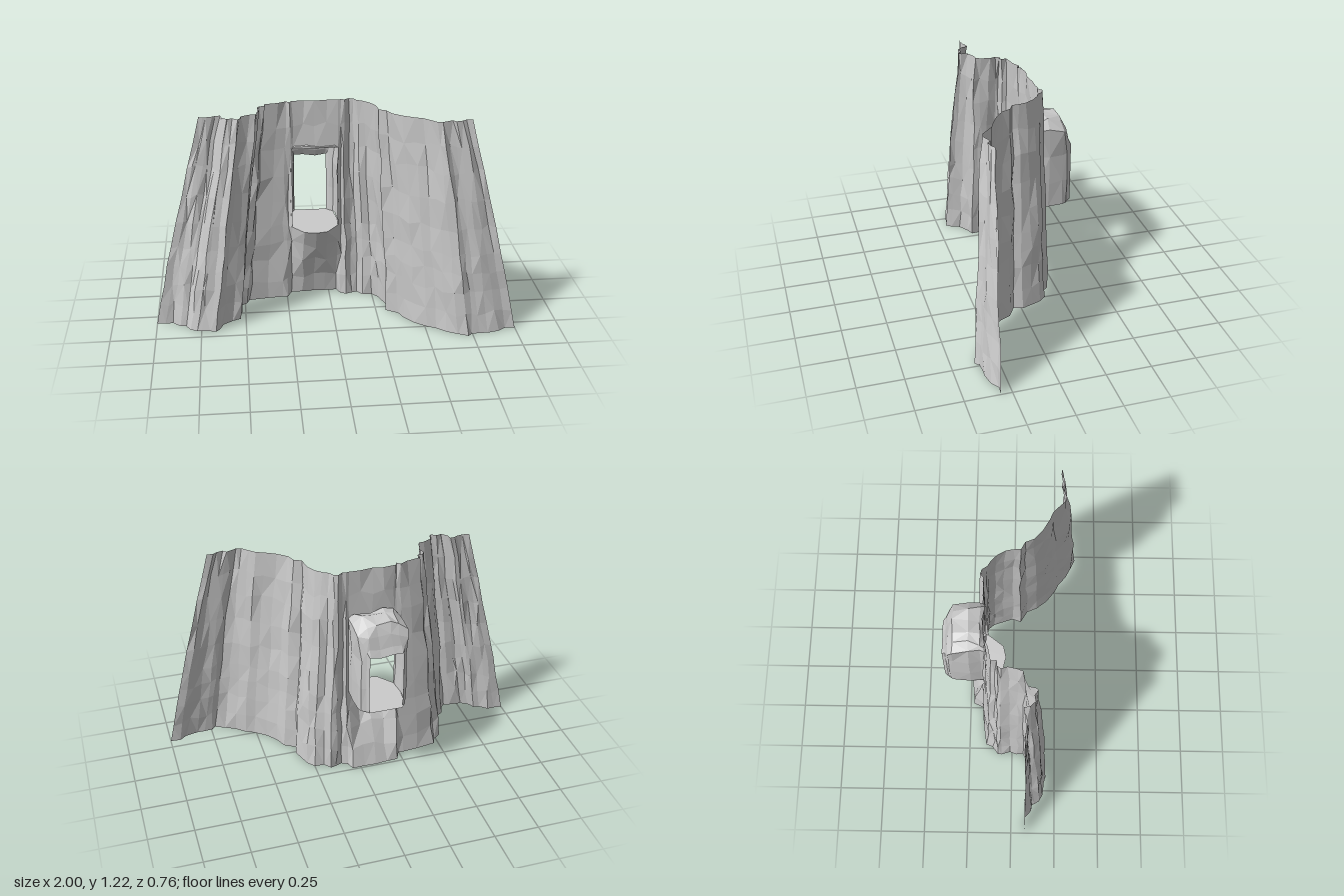
import * as THREE from 'three';

const rock = new THREE.MeshStandardMaterial({ color: 0xcccccc, flatShading: true, side: THREE.DoubleSide });

// Seeded noise in the range -1..1
let seed = 11;
const rand = () => {
  seed = (seed * 16807) % 2147483647;
  return (seed / 2147483647) * 2 - 1;
};

// Skin a grid of points, leaving out the cells for which skip(row, col) is true
function skin(name, grid, skip = () => false) {
  const w = grid[0].length, index = [];
  for (let r = 0; r < grid.length - 1; r++) {
    for (let c = 0; c < w - 1; c++) {
      if (skip(r, c)) continue;
      const a = r * w + c, b = a + 1, d = a + w, e = d + 1;
      index.push(...((r + c) % 2 ? [a, b, e, a, e, d] : [a, b, d, b, e, d]));
    }
  }
  const geo = new THREE.BufferGeometry();
  geo.setAttribute('position', new THREE.Float32BufferAttribute(grid.flat(2), 3));
  geo.setIndex(index);
  geo.computeVertexNormals();
  const mesh = new THREE.Mesh(geo, rock);
  mesh.name = name;
  return mesh;
}

// Plan of the cliff: x, z at the foot and x, z at the rim
const plan = [
  [-1, 0.08, -0.71, 0.07], [-0.91, 0.08, -0.66, 0.075], [-0.84, 0.12, -0.62, 0.06],
  [-0.81, 0.165, -0.58, 0.09], [-0.74, 0.18, -0.55, 0.12], [-0.67, 0.205, -0.51, 0.13],
  [-0.62, 0.115, -0.48, 0.085], [-0.53, 0.065, -0.41, 0.063], [-0.52, -0.02, -0.39, -0.02],
  [-0.525, -0.09, -0.385, -0.075], [-0.46, -0.145, -0.345, -0.105], [-0.28, -0.17, -0.24, -0.135],
  [-0.222, -0.215, -0.205, -0.15], [0.045, -0.22, 0.045, -0.15],
  [0.09, -0.175, 0.07, -0.155], [0.16, -0.2, 0.12, -0.165], [0.25, -0.15, 0.18, -0.115],
  [0.3, -0.07, 0.225, -0.045], [0.32, 0.035, 0.25, 0.03], [0.4, 0.14, 0.31, 0.1],
  [0.5, 0.25, 0.41, 0.18], [0.6, 0.32, 0.48, 0.23], [0.72, 0.375, 0.55, 0.28],
  [0.8, 0.345, 0.61, 0.25], [0.9, 0.33, 0.66, 0.26], [1, 0.31, 0.71, 0.25],
];
const mouthSpan = 12; // plan segment pierced by the tunnel
const heights = [0, 0.12, 0.25, 0.36, 0.47, 0.62, 0.78, 0.94, 1.08, 1.22];
const floorY = 0.47;
const ledge = [-0.14, -0.055, -0.04, -0.055, -0.14]; // z of the overhanging ledge rim

function cliff() {
  // Subdivide the plan into pleats
  const cols = [];
  let mouth;
  plan.forEach((p, i) => {
    if (i === mouthSpan) mouth = cols.length;
    const n = i === plan.length - 1 ? 1 : i === mouthSpan ? 4 : 2;
    for (let k = 0; k < n; k++) {
      const q = plan[Math.min(i + 1, plan.length - 1)];
      const edge = i === mouthSpan || i === mouthSpan + 1 || i === 0 || i === plan.length - 1;
      const j = edge ? 0 : 0.009;
      // Midpoints step in and out alternately, so the folds read as ribs
      const dx = rand() * j, dz = k === 1 ? (i % 2 ? j : -j) : rand() * j * 0.6;
      cols.push(p.map((v, m) => v + (q[m] - v) * (k / n) + (m % 2 ? dz : dx)));
    }
  });
  const grid = heights.map((y, r) => cols.map(([xb, zb, xt, zt], c) => {
    const t = y / 1.22, s = t * (0.85 + 0.15 * t);
    const m = c - mouth, inMouth = m >= 0 && m <= 4;
    const seam = inMouth && r >= 4 && r <= 7;
    const j = seam ? 0 : 0.007;
    const end = c === 0 || c === cols.length - 1 ? 0.3 : 1;
    const dy = seam || r === 0 || r === heights.length - 1 ? 0 : rand() * 0.015;
    let z = zb + (zt - zb) * s;
    // Below the tunnel the wall leans out from a recessed foot to the ledge
    if (inMouth) z = y <= floorY ? zb - 0.02 + (ledge[m] - zb + 0.02) * (y / floorY) ** 1.3 : -0.15;
    return [xb + (xt - xb) * s + rand() * j * end, y + dy, z + rand() * j];
  }));
  return skin('cliffFace', grid, (r, c) => r >= 4 && r < 7 && c >= mouth && c < mouth + 4);
}

// Tunnel shell: z, left x, right x, crown height and corner chamfer of each section
const sections = [
  [-0.145, -0.22, 0.046, 0.955, 0.015], [-0.175, -0.221, 0.047, 0.982, 0.03],
  [-0.235, -0.228, 0.05, 1.0, 0.05], [-0.32, -0.222, 0.045, 0.982, 0.05],
  [-0.345, -0.215, 0.035, 0.925, 0.04], [-0.362, -0.195, 0.01, 0.86, 0.015],
  [-0.38, -0.188, -0.003, 0.82, 0.003],
];

function tunnel() {
  const grid = sections.map(([z, x0, x1, top, k], i) => {
    const j = i > 0 && i < 5 ? 0.008 : 0;
    const half = [[0, floorY], [-0.002, 0.62], [0, 0.78], [0, top - k], [k, top - k * 0.2]];
    const left = half.map(([x, y]) => [x0 + x, y]);
    const right = half.map(([x, y]) => [x1 - x, y]).reverse();
    const mid = (x0 + x1) / 2;
    return [...left, [mid - 0.04, top], [mid + 0.03, top - 0.01], ...right].map(([x, y]) => {
      const wall = y > floorY ? j : 0;
      return [x + rand() * wall, y + rand() * wall, z + rand() * wall * 0.5];
    });
  });
  return skin('tunnelShell', grid);
}

// Flat floor reaching out to the ledge in front of the cliff
function floor() {
  const outline = [
    [-0.188, -0.38], [-0.003, -0.38], [0.035, -0.345], [0.05, -0.235], [0.045, -0.14],
    [-0.02, -0.055], [-0.086, -0.04], [-0.152, -0.055],
    [-0.22, -0.14], [-0.228, -0.235], [-0.215, -0.345],
  ];
  const shape = new THREE.Shape(outline.map(([x, z]) => new THREE.Vector2(x, -z)));
  const mesh = new THREE.Mesh(new THREE.ShapeGeometry(shape).rotateX(-Math.PI / 2), rock);
  mesh.position.y = floorY;
  mesh.name = 'tunnelFloor';
  return mesh;
}

export function createModel() {
  seed = 11;
  const group = new THREE.Group();
  group.name = 'cliffWithTunnel';
  group.add(cliff(), tunnel(), floor());
  return group;
}
